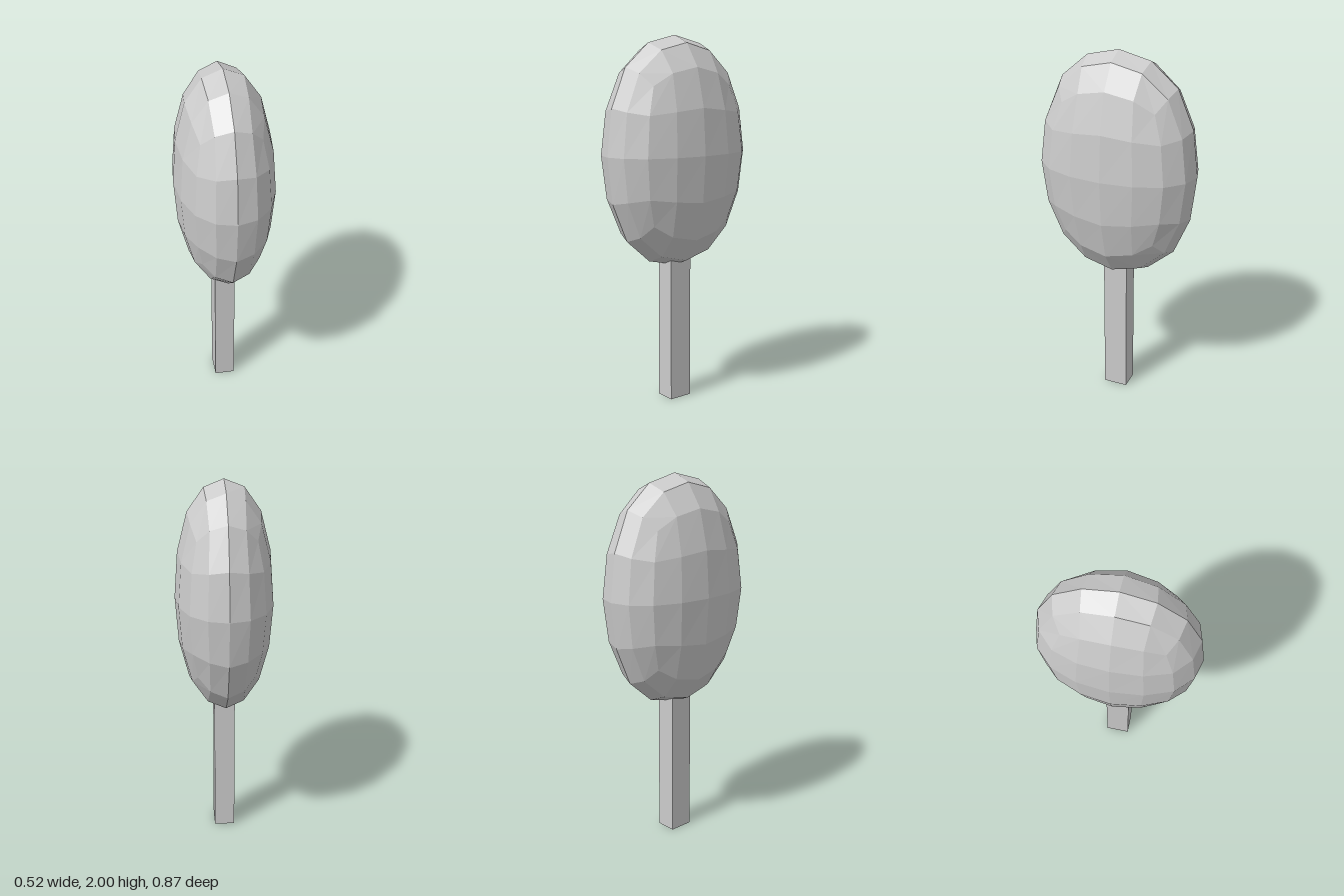
import * as THREE from 'three';

// Rounded-cube rule: each grid vertex of a 4x4x4 box is moved according to its
// position class (sorted absolute coordinates), mapping each coordinate inward.
const ROUNDING = {
  '0,0,1': { 1: 1 },
  '0,0.5,1': { 1: 0.933, 0.5: 0.399 },
  '0.5,0.5,1': { 1: 0.87, 0.5: 0.371 },
  '0,1,1': { 1: 0.732 },
  '0.5,1,1': { 1: 0.682, 0.5: 0.344 },
  '1,1,1': { 1: 0.58 },
};

function roundedCube(rx, ry, rz) {
  const geometry = new THREE.BoxGeometry(2, 2, 2, 4, 4, 4);
  const pos = geometry.attributes.position;
  for (let i = 0; i < pos.count; i++) {
    const p = [pos.getX(i), pos.getY(i), pos.getZ(i)];
    const rule = ROUNDING[p.map(Math.abs).sort().join(',')];
    const [x, y, z] = p.map((c) => (c === 0 ? 0 : Math.sign(c) * rule[Math.abs(c)]));
    pos.setXYZ(i, x * rx, y * ry, z * rz);
  }
  geometry.computeVertexNormals();
  return geometry;
}

export function createModel() {
  const group = new THREE.Group();
  const material = new THREE.MeshStandardMaterial({ color: 0xcccccc, flatShading: true });

  // faceted egg-shaped crown, narrow across x
  const crown = new THREE.Mesh(roundedCube(0.262, 0.622, 0.435), material);
  crown.name = 'crown';
  crown.position.y = 1.378;

  // square trunk, its top tucked inside the crown
  const trunk = new THREE.Mesh(new THREE.BoxGeometry(0.112, 0.81, 0.134), material);
  trunk.name = 'trunk';
  trunk.position.y = 0.405;

  group.add(crown, trunk);
  return group;
}
